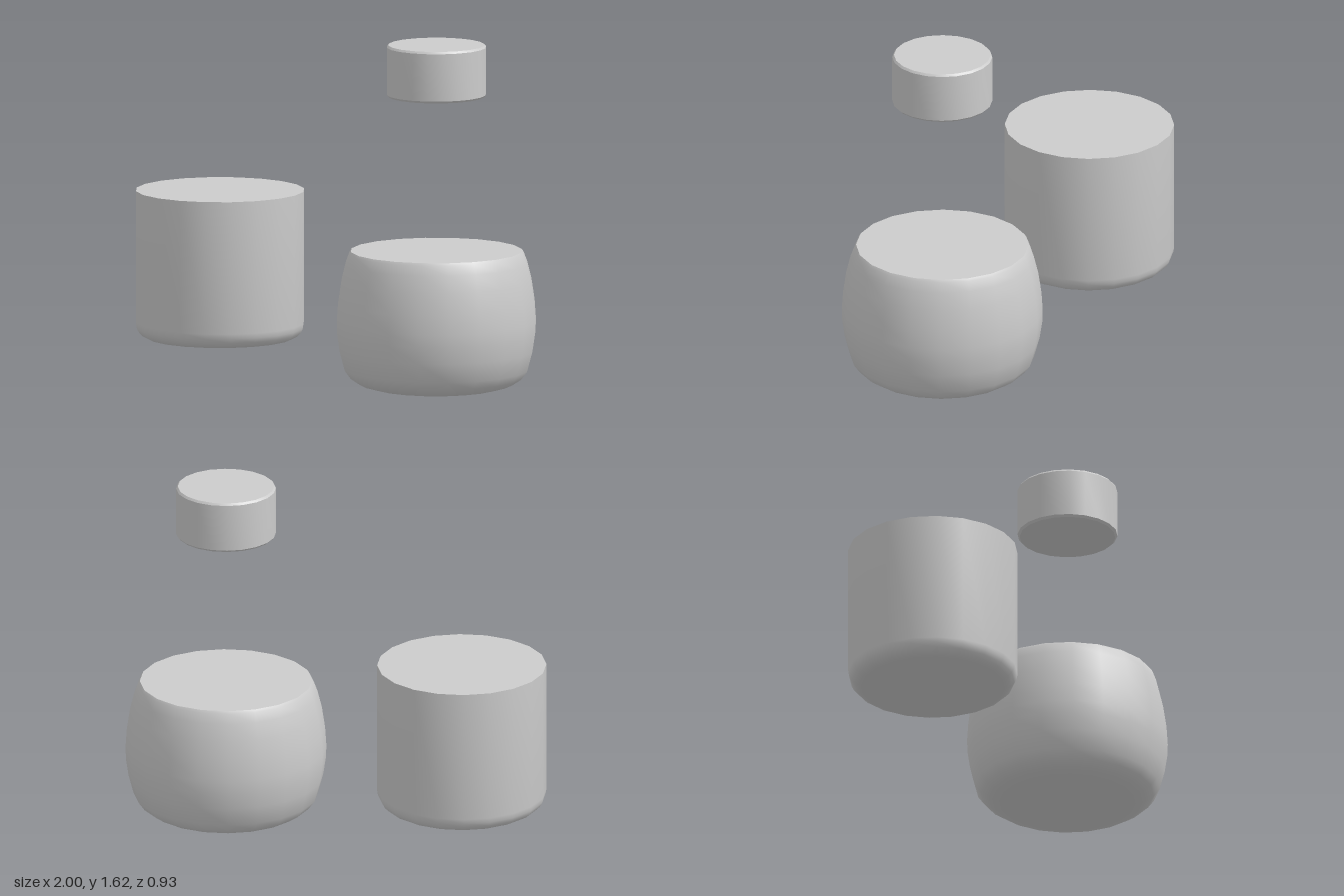
import * as THREE from 'three';
import { toCreasedNormals } from 'three/addons/utils/BufferGeometryUtils.js';

const SIDES = 20;
const material = new THREE.MeshStandardMaterial({ color: 0xcccccc });

// Turns a bottom-to-top profile of [radius, height] into a closed round body
function turned(name, x, profile) {
  const points = profile.map(([r, y]) => new THREE.Vector2(r, y));
  const geometry = toCreasedNormals(new THREE.LatheGeometry(points, SIDES), 0.65);
  const mesh = new THREE.Mesh(geometry, material);
  mesh.name = name;
  mesh.position.x = x;
  return mesh;
}

// Quarter-round corner at the bottom of a profile
function roundedBottom(radius, y, fillet, steps) {
  return Array.from({ length: steps + 1 }, (_, i) => {
    const a = (i / steps) * Math.PI / 2;
    return [radius - fillet + fillet * Math.sin(a), y + fillet * (1 - Math.cos(a))];
  });
}

export function createModel() {
  const model = new THREE.Group();
  model.name = 'containerSet';

  // Straight cup with a rounded base
  model.add(turned('straightCup', -0.607, [
    [0, 0.165], ...roundedBottom(0.393, 0.165, 0.075, 5), [0.393, 0.86], [0, 0.86],
  ]));

  // Bulging pot on a slightly domed base
  model.add(turned('roundPot', 0.534, [
    [0, 0], [0.16, 0.006], [0.3, 0.018], [0.36, 0.035], [0.4, 0.062], [0.428, 0.1],
    [0.452, 0.19], [0.464, 0.27], [0.466, 0.33], [0.46, 0.42], [0.445, 0.52],
    [0.425, 0.6], [0.408, 0.645], [0.4, 0.657], [0, 0.657],
  ]));

  // Floating lid with narrow bevels
  model.add(turned('lid', 0.534, [
    [0, 1.38], [0.222, 1.38], [0.232, 1.39], [0.232, 1.612], [0.224, 1.622], [0, 1.622],
  ]));

  return model;
}
